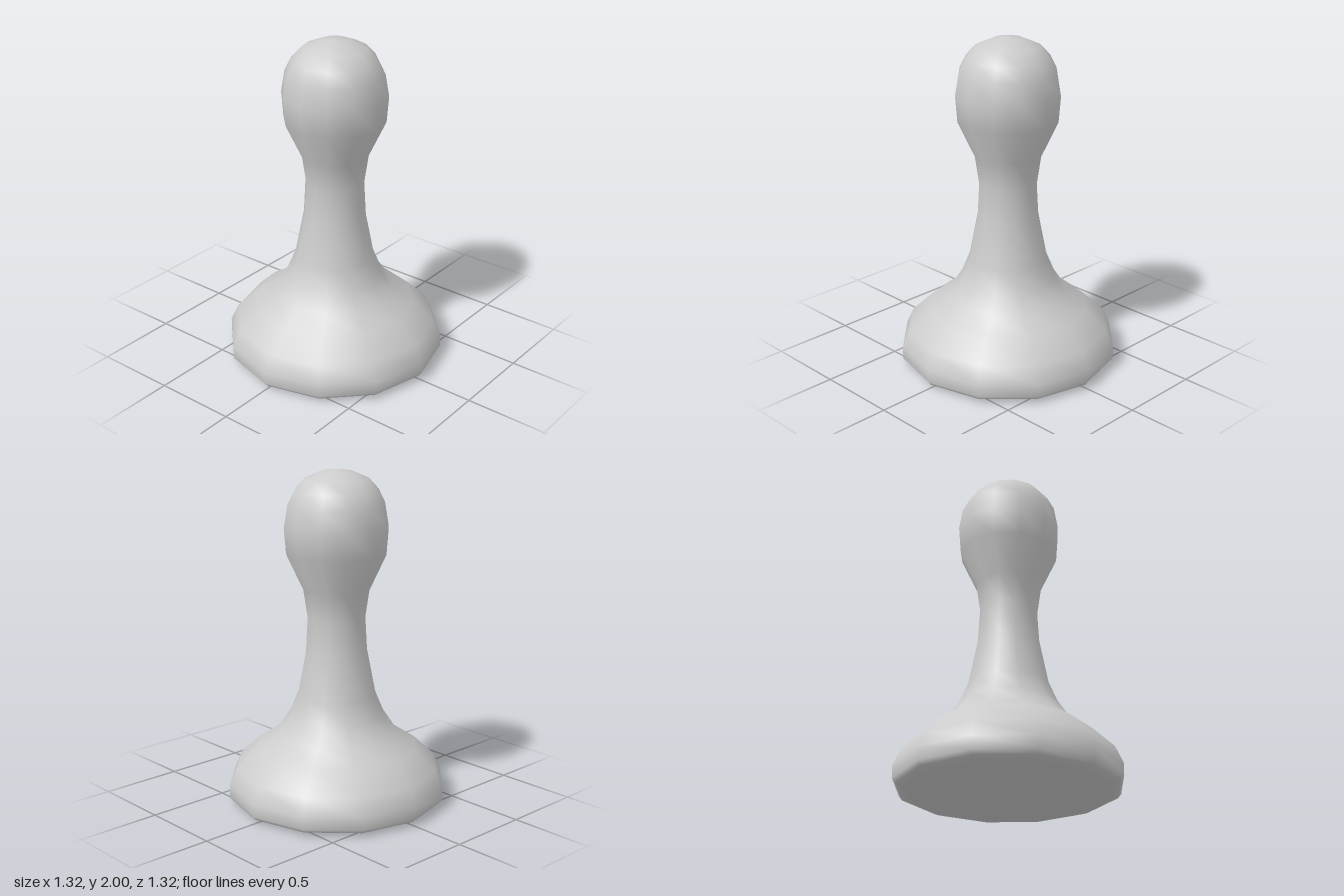
import * as THREE from 'three';

export function createModel() {
  const group = new THREE.Group();
  group.name = 'pawn';
  const material = new THREE.MeshStandardMaterial({ color: 0xcccccc });

  // Half-profile as [radius, height], from the underside to the crown
  const profile = [
    [0, 0], [0.56, 0], [0.6, 0.005], [0.64, 0.02], [0.66, 0.045], // flat foot and rim
    [0.66, 0.12], [0.615, 0.22], [0.49, 0.34], [0.36, 0.425],     // domed base
    [0.29, 0.53], [0.24, 0.65], [0.187, 0.92], [0.175, 1.13],     // flared neck
    [0.2, 1.3], [0.3, 1.515], [0.312, 1.67], [0.29, 1.8],         // head
    [0.25, 1.88], [0.19, 1.945], [0.09, 1.988], [0, 2],
  ].map(([r, y]) => new THREE.Vector2(r, y));

  // Twelve-sided turned body with smooth normals
  const body = new THREE.Mesh(new THREE.LatheGeometry(profile, 12), material);
  body.name = 'pawnBody';
  group.add(body);
  return group;
}
